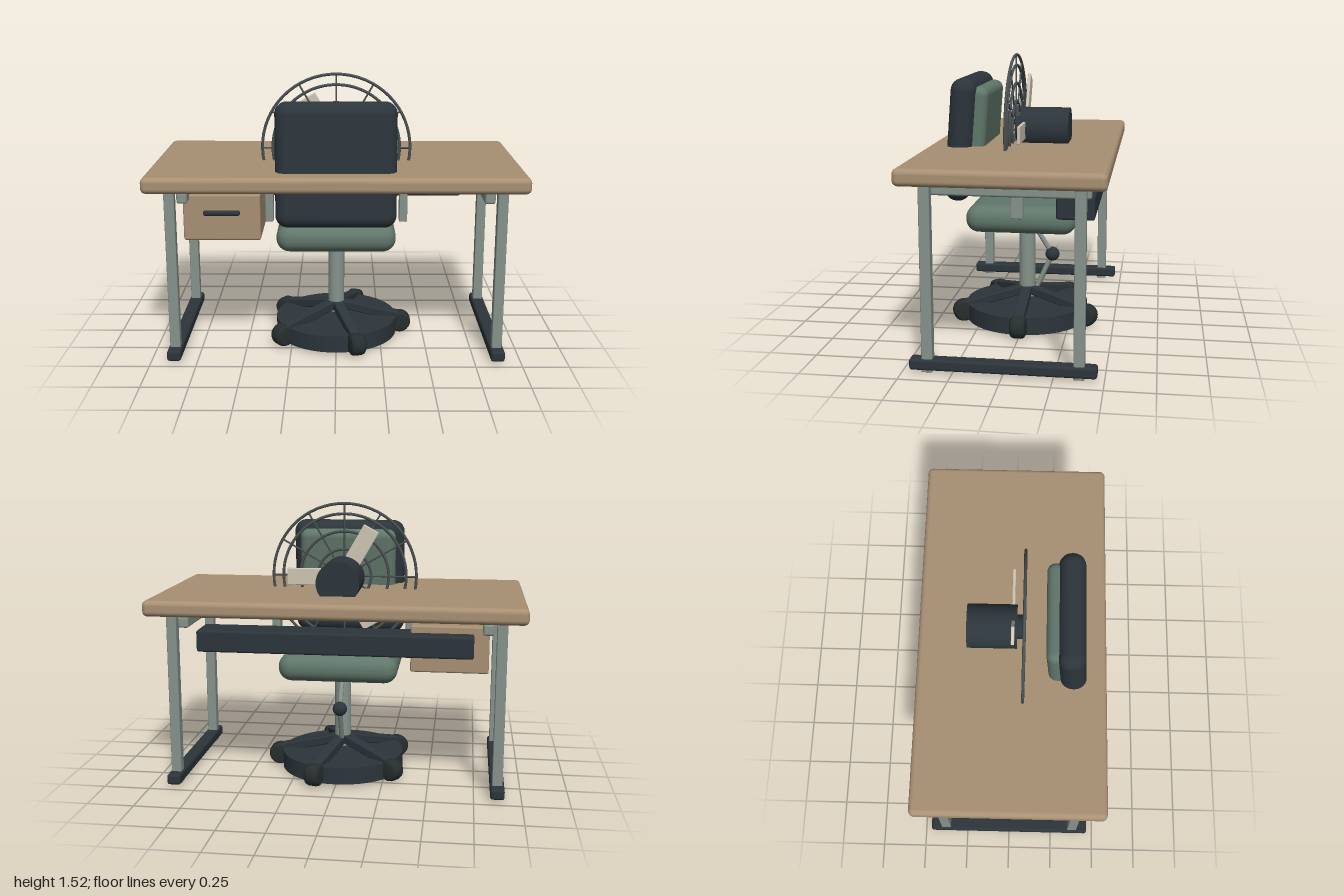
import * as THREE from 'three';
import { RoundedBoxGeometry } from 'three/addons/geometries/RoundedBoxGeometry.js';

const mat = (color) => new THREE.MeshStandardMaterial({ color });

export function createModel() {
  const model = new THREE.Group();
  model.name = 'deskChairAndFan';
  const wood = mat(0xa89073), metal = mat(0x87938c), dark = mat(0x2c353b);
  const rubber = mat(0x272e2e), fabric = mat(0x60776a), cream = mat(0xcfc6b4), wire = mat(0x4a5152);

  const group = (name) => {
    const g = new THREE.Group();
    g.name = name;
    model.add(g);
    return g;
  };
  const add = (parent, name, geometry, material, x = 0, y = 0, z = 0) => {
    const m = new THREE.Mesh(geometry, material);
    m.name = name;
    m.position.set(x, y, z);
    parent.add(m);
    return m;
  };
  const rbox = (w, h, d, r = 0.01, s = 3) => new RoundedBoxGeometry(w, h, d, s, r);
  const cyl = (r, h, n = 32) => new THREE.CylinderGeometry(r, r, h, n);
  const rod = (parent, name, a, b, r, material) => {
    const from = new THREE.Vector3(...a), dir = new THREE.Vector3(...b).sub(from);
    const m = add(parent, name, cyl(r, dir.length(), 10), material);
    m.position.copy(from).addScaledVector(dir, 0.5);
    m.quaternion.setFromUnitVectors(new THREE.Vector3(0, 1, 0), dir.normalize());
    return m;
  };

  // Desk: top, side frames, drawer box and rear tray
  const desk = group('desk');
  add(desk, 'desktop', rbox(2, 0.086, 1.012, 0.028, 4), wood, 0, 0.998, 0);
  for (const s of [-1, 1]) {
    for (const z of [0.376, -0.376]) add(desk, 'leg', rbox(0.055, 0.95, 0.055, 0.006), metal, s * 0.873, 0.48, z);
    add(desk, 'foot', rbox(0.075, 0.058, 0.93, 0.014), dark, s * 0.873, 0.046, 0);
    add(desk, 'sideRail', rbox(0.056, 0.06, 0.845, 0.012), metal, s * 0.802, 0.915, 0);
  }
  add(desk, 'drawer', rbox(0.41, 0.25, 0.69, 0.01), wood, -0.605, 0.79, 0);
  add(desk, 'drawerHandle', rbox(0.195, 0.028, 0.03, 0.012), dark, -0.605, 0.817, 0.35);
  add(desk, 'rearTray', rbox(1.46, 0.117, 0.19, 0.012), dark, 0, 0.818, -0.337);

  // Chair: cushions, arm posts and column
  const chair = group('chair');
  add(chair, 'seat', rbox(0.65, 0.152, 0.6, 0.072, 6), fabric, 0, 0.646, 0);
  add(chair, 'backShell', rbox(0.64, 0.665, 0.14, 0.066, 6), dark, 0, 1.072, 0.326).rotation.x = -0.075;
  add(chair, 'backCushion', rbox(0.55, 0.55, 0.1, 0.045, 6), fabric, 0, 1.083, 0.243).rotation.x = -0.075;
  for (const s of [-1, 1]) add(chair, 'armPost', rbox(0.046, 0.32, 0.066, 0.007), metal, s * 0.377, 0.838, 0.002);
  add(chair, 'column', cyl(0.046, 0.44), metal, 0, 0.36, 0);

  // Jointed strut behind the column
  rod(chair, 'upperStrut', [0, 0.57, -0.03], [0, 0.39, -0.145], 0.014, metal);
  rod(chair, 'lowerStrut', [0, 0.39, -0.145], [0, 0.16, -0.04], 0.014, metal);
  add(chair, 'strutJoint', new THREE.SphereGeometry(0.04, 24, 16), dark, 0, 0.39, -0.145);

  // Round base with five sloping spokes and casters
  add(chair, 'baseDisc', cyl(0.345, 0.095, 48), dark, 0, 0.066, 0);
  add(chair, 'basePad', cyl(0.145, 0.02), dark, 0, 0.015, 0);
  const casterProfile = [[0, -0.042], [0.045, -0.042], [0.057, -0.034], [0.062, -0.018],
    [0.062, 0.018], [0.057, 0.034], [0.045, 0.042], [0, 0.042]].map(([x, y]) => new THREE.Vector2(x, y));
  for (let i = 0; i < 5; i++) {
    const arm = new THREE.Group();
    arm.name = 'baseArm';
    arm.rotation.y = (i * Math.PI * 2) / 5;
    chair.add(arm);
    add(arm, 'spoke', rbox(0.36, 0.05, 0.06, 0.008), dark, 0.19, 0.143, 0).rotation.z = -0.22;
    add(arm, 'caster', new THREE.LatheGeometry(casterProfile, 24), rubber, 0.368, 0.072, 0).rotation.x = Math.PI / 2;
  }

  // Fan: motor, hub, three blades and wire guard around a common axis
  const fan = group('fan');
  fan.position.y = 1.11;
  add(fan, 'motor', cyl(0.118, 0.265, 40), dark, 0, 0, -0.107).rotation.x = Math.PI / 2;
  add(fan, 'hub', cyl(0.065, 0.04), dark, 0, 0, 0.04).rotation.x = Math.PI / 2;
  for (let i = 0; i < 3; i++) {
    const a = (i * Math.PI * 2) / 3;
    add(fan, 'blade', rbox(0.255, 0.095, 0.017, 0.005), cream, 0.188 * Math.cos(a), 0.188 * Math.sin(a), 0.004).rotation.z = a;
  }
  for (const r of [0.405, 0.348, 0.25, 0.15]) {
    add(fan, 'guardRing', new THREE.TorusGeometry(r, 0.008, 8, 64), wire, 0, 0, 0.062);
  }
  for (let i = 0; i < 12; i++) {
    const a = (i * Math.PI) / 6, c = Math.cos(a), s = Math.sin(a);
    rod(fan, 'guardSpoke', [0.05 * c, 0.05 * s, 0.062], [0.405 * c, 0.405 * s, 0.062], 0.005, wire);
  }
  return model;
}
